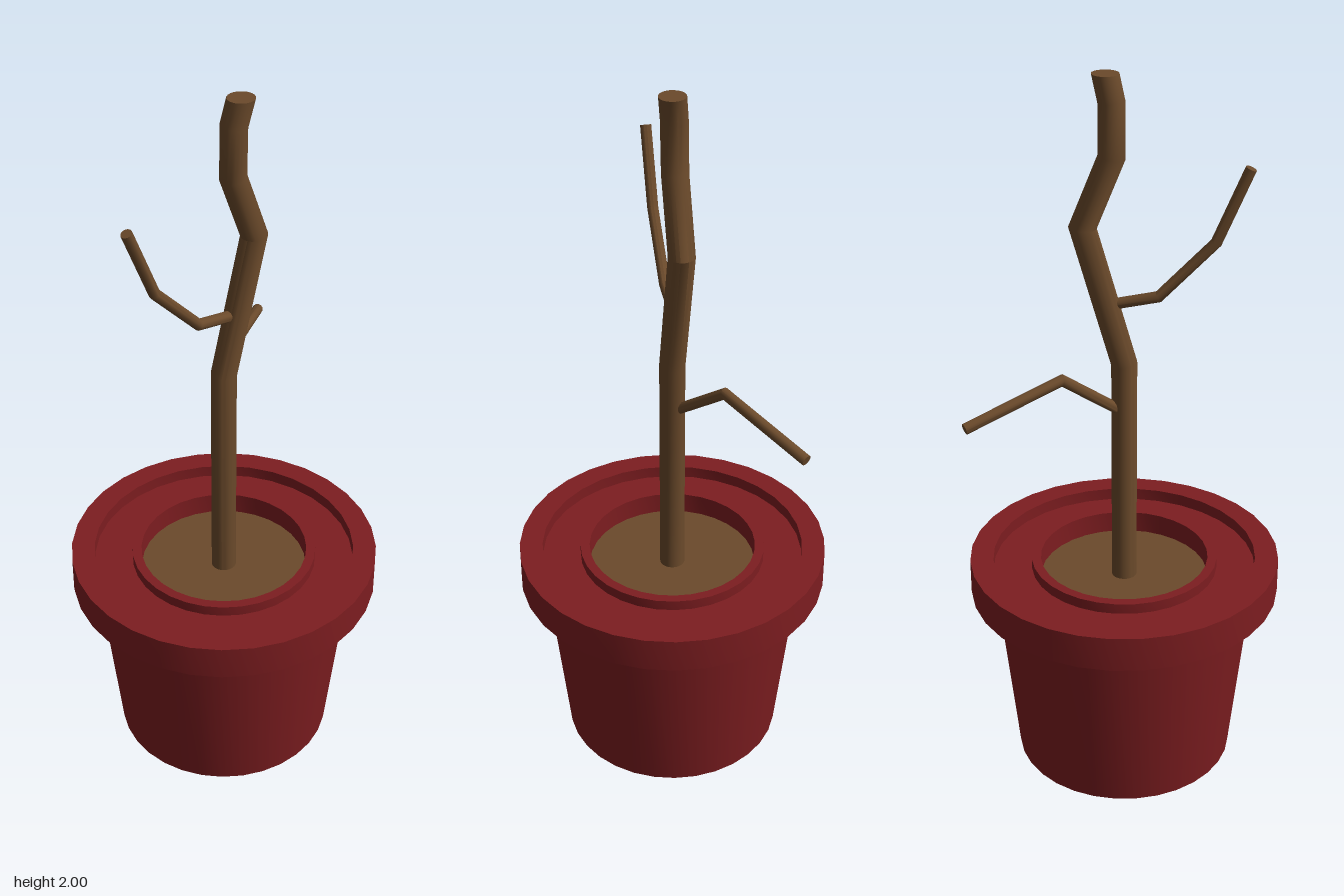
import * as THREE from 'three';
import { toCreasedNormals } from 'three/addons/utils/BufferGeometryUtils.js';

const red = new THREE.MeshStandardMaterial({ color: 0x7d1d20 });
const bark = new THREE.MeshStandardMaterial({ color: 0x6b4a2b });

function addMesh(group, name, geometry, material) {
  const mesh = new THREE.Mesh(toCreasedNormals(geometry, 0.6), material);
  mesh.name = name;
  group.add(mesh);
}

// Round limb along straight segments, mitred at each bend.
// endNormal sets the plane in which the tip is cut.
function limb(path, radius, sides, endNormal) {
  const pts = path.map((p) => new THREE.Vector3(...p));
  const dirs = pts.slice(1).map((p, i) => p.clone().sub(pts[i]).normalize());
  const last = pts.length - 1;
  const ref = Math.abs(dirs[0].z) > 0.9 ? new THREE.Vector3(1, 0, 0) : new THREE.Vector3(0, 0, 1);
  const u = ref.clone().cross(dirs[0]).normalize();
  const v = dirs[0].clone().cross(u);

  let ring = [];
  for (let j = 0; j < sides; j++) {
    const a = (j / sides) * Math.PI * 2;
    ring.push(pts[0].clone().addScaledVector(u, radius * Math.cos(a)).addScaledVector(v, radius * Math.sin(a)));
  }
  const rings = [ring];
  for (let i = 1; i <= last; i++) {
    const d = dirs[i - 1];
    const normal = i < last ? d.clone().add(dirs[i]).normalize() : endNormal || d;
    ring = ring.map((p) => p.clone().addScaledVector(d, pts[i].clone().sub(p).dot(normal) / d.dot(normal)));
    rings.push(ring);
  }

  const position = [];
  const tri = (...corners) => corners.forEach((p) => position.push(p.x, p.y, p.z));
  for (let j = 0; j < sides; j++) {
    const k = (j + 1) % sides;
    for (let i = 0; i < last; i++) {
      tri(rings[i][j], rings[i][k], rings[i + 1][k]);
      tri(rings[i][j], rings[i + 1][k], rings[i + 1][j]);
    }
    tri(pts[0], rings[0][k], rings[0][j]);
    tri(pts[last], rings[last][j], rings[last][k]);
  }
  const geometry = new THREE.BufferGeometry();
  geometry.setAttribute('position', new THREE.Float32BufferAttribute(position, 3));
  return geometry;
}

export function createModel() {
  const group = new THREE.Group();
  group.name = 'pottedTree';

  // Pot: tapered body, overhanging rim, groove and inner ring
  const profile = [
    [0, 0], [0.31, 0], [0.365, 0.53], [0.435, 0.53], [0.435, 0.63], [0.37, 0.63],
    [0.37, 0.595], [0.262, 0.595], [0.262, 0.625], [0.236, 0.625], [0.236, 0.55],
  ].map(([r, y]) => new THREE.Vector2(r, y));
  addMesh(group, 'pot', new THREE.LatheGeometry(profile, 32), red);

  // Soil
  const soil = new THREE.CircleGeometry(0.237, 32).rotateX(-Math.PI / 2).translate(0, 0.563, 0);
  addMesh(group, 'soil', soil, bark);

  // Trunk, cut level at the top
  const trunk = [[0, 0.55, 0], [0, 1.22, 0], [0.108, 1.6, 0], [0.032, 1.79, 0], [0.032, 1.93, 0.002], [0.048, 2, 0.01]];
  addMesh(group, 'trunk', limb(trunk, 0.035, 20, new THREE.Vector3(0, 1, 0)), bark);

  // Branches
  const rightBranch = [[0.03, 1.39, 0], [-0.09, 1.415, 0], [-0.237, 1.57, 0], [-0.32, 1.77, 0]];
  addMesh(group, 'rightBranch', limb(rightBranch, 0.015, 12), bark);
  const leftBranch = [[0.01, 1.085, -0.01], [0.155, 1.213, -0.105], [0.39, 1.137, -0.26]];
  addMesh(group, 'leftBranch', limb(leftBranch, 0.015, 12), bark);

  return group;
}
